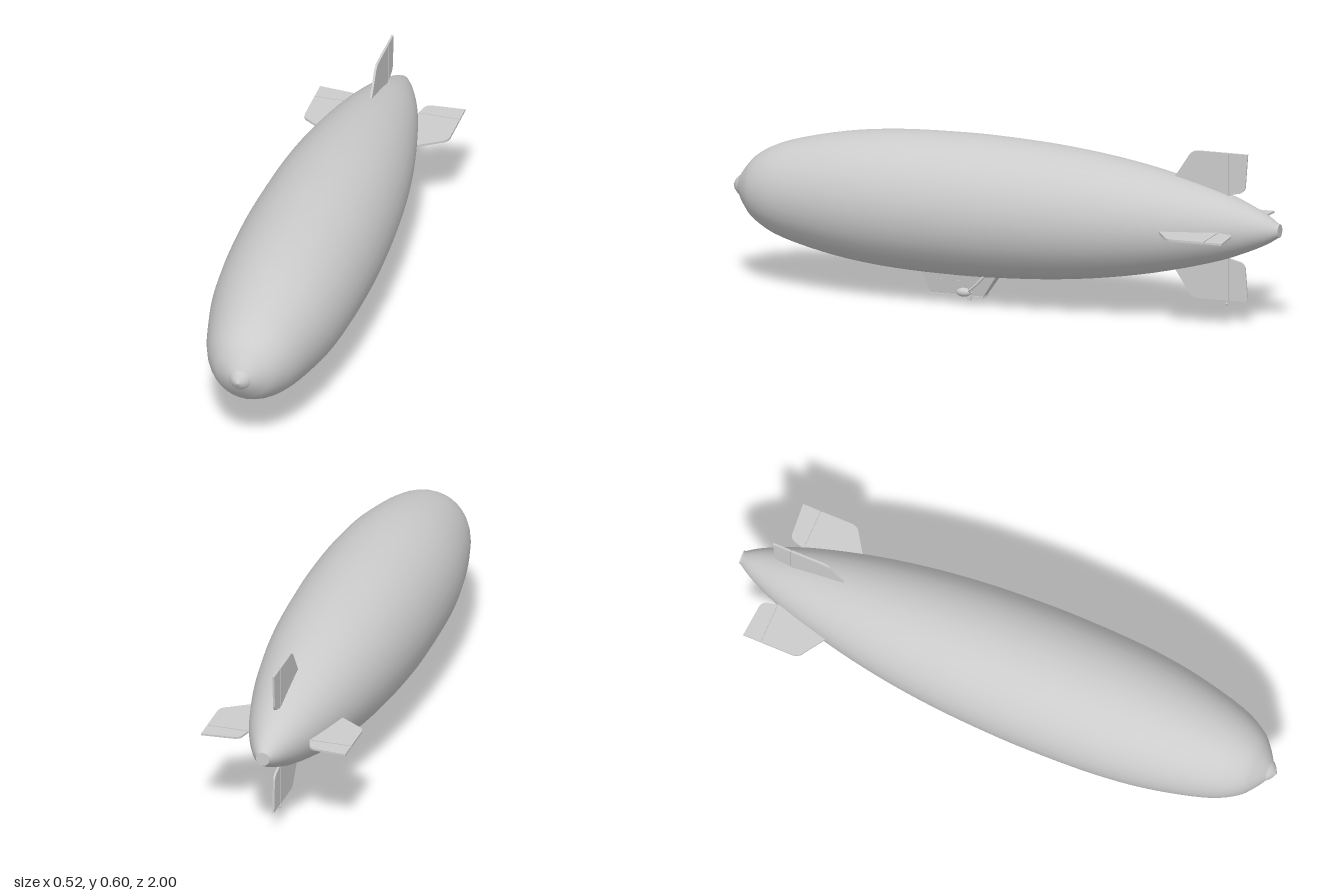
import * as THREE from 'three';

const AXIS_Y = 0.337; // height of the hull's long axis

export function createModel() {
  const model = new THREE.Group();
  const grey = new THREE.MeshStandardMaterial({ color: 0xcccccc });

  const add = (name, geometry, parent = model, x = 0, y = 0, z = 0) => {
    const mesh = new THREE.Mesh(geometry, grey);
    mesh.name = name;
    mesh.position.set(x, y, z);
    parent.add(mesh);
    return mesh;
  };
  // Round bar between two points
  const bar = (name, a, b, radius, parent = model) => {
    const from = new THREE.Vector3(...a), to = new THREE.Vector3(...b);
    const dir = to.clone().sub(from);
    const mesh = add(name, new THREE.CylinderGeometry(radius, radius, dir.length(), 10), parent);
    mesh.position.copy(from).add(to).multiplyScalar(0.5);
    mesh.quaternion.setFromUnitVectors(new THREE.Vector3(0, 1, 0), dir.normalize());
    return mesh;
  };
  // Surface of revolution along z from [radius, z] points, tail to nose
  const revolve = (points) => new THREE.LatheGeometry(points, 32).rotateX(Math.PI / 2);
  const v2 = ([x, y]) => new THREE.Vector2(x, y);

  // Hull
  const profile = new THREE.SplineCurve([
    [0.024, -0.995], [0.06, -0.935], [0.115, -0.8], [0.169, -0.6], [0.207, -0.4],
    [0.231, -0.2], [0.243, 0], [0.246, 0.17], [0.239, 0.4], [0.216, 0.6],
    [0.169, 0.8], [0.121, 0.9], [0.076, 0.945], [0.037, 0.972],
  ].map(v2));
  add('hull', revolve(profile.getPoints(52)), model, 0, AXIS_Y);
  add('noseCap', revolve([[0.038, 0.969], [0.032, 0.979], [0.018, 0.991], [0, 1]].map(v2)), model, 0, AXIS_Y);
  add('tailCap', new THREE.CylinderGeometry(0.024, 0.024, 0.012, 24).rotateX(Math.PI / 2), model, 0, AXIS_Y, -0.994);

  // Tail fins: fixed fin plus hinged rudder, four times round the hull
  const plate = (shape, thickness) =>
    new THREE.ExtrudeGeometry(shape, { depth: thickness, bevelEnabled: false, curveSegments: 6 })
      .translate(0, 0, -thickness / 2).rotateX(Math.PI / 2);
  const finShape = new THREE.Shape();
  finShape.moveTo(0.08, -0.62);
  finShape.lineTo(0.165, -0.618);
  finShape.lineTo(0.235, -0.664);
  finShape.quadraticCurveTo(0.259, -0.675, 0.26, -0.7);
  finShape.lineTo(0.26, -0.814);
  finShape.lineTo(0.08, -0.814);
  const rudderShape = new THREE.Shape();
  rudderShape.moveTo(0.26, -0.818);
  rudderShape.lineTo(0.26, -0.883);
  rudderShape.lineTo(0.142, -0.874);
  rudderShape.quadraticCurveTo(0.122, -0.868, 0.12, -0.85);
  rudderShape.lineTo(0.112, -0.818);
  const finGeometry = plate(finShape, 0.008);
  const rudderGeometry = plate(rudderShape, 0.007);
  ['leftFin', 'topFin', 'rightFin', 'bottomFin'].forEach((name, i) => {
    const fin = new THREE.Group();
    fin.name = name;
    fin.position.y = AXIS_Y;
    fin.rotation.z = i * Math.PI / 2;
    add('fin', finGeometry, fin);
    add('rudder', rudderGeometry, fin);
    bar('hinge', [0.1, 0, -0.816], [0.258, 0, -0.816], 0.0025, fin);
    model.add(fin);
  });
  bar('tailBumper', [0, 0.085, -0.805], [0, 0.06, -0.805], 0.003);
  add('bumperFoot', new THREE.SphereGeometry(0.005, 10, 8), model, 0, 0.064, -0.805);

  // Gondola: a box narrowed towards the floor, with sloping ends
  const cabin = new THREE.BoxGeometry(1, 1, 1).toNonIndexed();
  const p = cabin.attributes.position;
  for (let i = 0; i < p.count; i++) {
    const top = p.getY(i) > 0, front = p.getZ(i) > 0;
    p.setXYZ(i, Math.sign(p.getX(i)) * (top ? 0.038 : 0.022), top ? 0.108 : 0.02,
      front ? (top ? 0.3 : 0.27) : (top ? 0.02 : 0.078));
  }
  cabin.computeVertexNormals();
  add('gondola', cabin);
  add('gondolaFloor', new THREE.BoxGeometry(0.054, 0.005, 0.195), model, 0, 0.0185, 0.174);

  // Side windows and doors follow the slope of the cabin wall
  for (const side of [-1, 1]) {
    const panel = (name, y, z, height, width) => {
      const wallX = 0.022 + (y - 0.02) * 0.182;
      add(name, new THREE.BoxGeometry(0.002, height, width), model, side * wallX, y, z)
        .rotation.z = -side * 0.18;
    };
    panel('door', 0.052, 0.243, 0.045, 0.004);
    for (const z of [0.26, 0.225, 0.195, 0.165]) panel('window', 0.068, z, 0.012, 0.014);
  }

  // Landing wheel under the floor
  bar('wheelStrut', [0, 0.02, 0.14], [0, 0.007, 0.14], 0.0025);
  add('landingWheel', new THREE.CylinderGeometry(0.006, 0.006, 0.005, 14).rotateZ(Math.PI / 2), model, 0, 0.006, 0.14);

  // Engines on a cross beam, each with a three-bladed propeller
  add('engineBeam', new THREE.BoxGeometry(0.133, 0.005, 0.012), model, 0, 0.031, 0.135);
  for (const side of [-1, 1]) {
    const engine = new THREE.Group();
    engine.name = side > 0 ? 'leftEngine' : 'rightEngine';
    engine.position.set(side * 0.0665, 0.042, 0.133);
    add('nacelle', new THREE.SphereGeometry(0.0155, 20, 14).scale(1, 1, 1.7), engine);
    add('propellerHub', new THREE.ConeGeometry(0.006, 0.014, 12).rotateX(-Math.PI / 2), engine, 0, 0, -0.029);
    for (let i = 0; i < 3; i++) {
      add('propellerBlade', new THREE.BoxGeometry(0.005, 0.03, 0.002).translate(0, -0.015, 0), engine, 0, 0, -0.026)
        .rotation.z = i * Math.PI * 2 / 3;
    }
    model.add(engine);
  }

  // Duct from the left engine up into the hull
  bar('ductLower', [0.066, 0.045, 0.118], [0.066, 0.075, 0.085], 0.004);
  bar('ductUpper', [0.066, 0.073, 0.087], [0.066, 0.112, 0.05], 0.005);

  return model;
}
